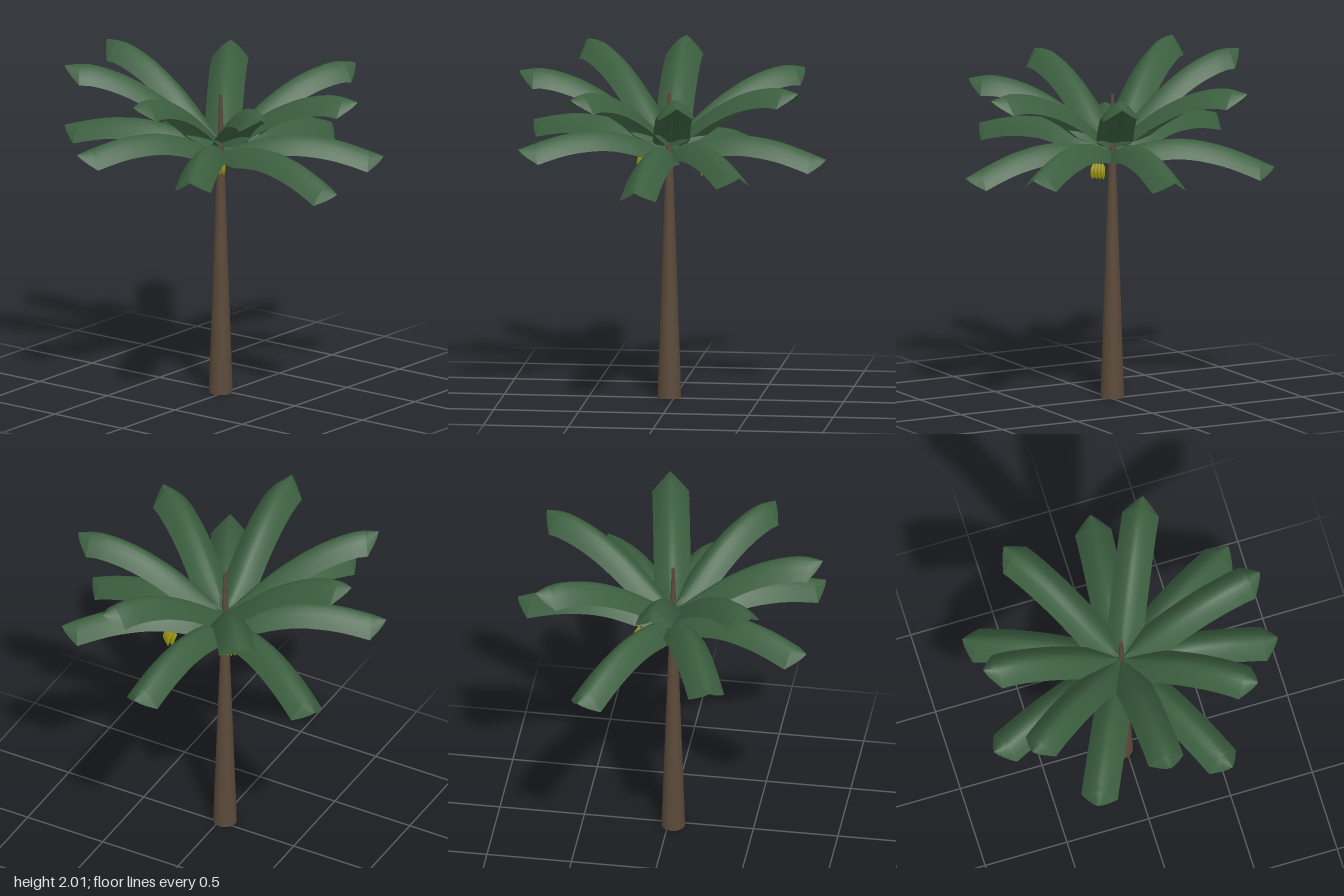
import * as THREE from 'three';

const CX = -0.03, CZ = -0.025; // trunk axis
const leafMat = new THREE.MeshStandardMaterial({ color: 0x3c5f40, side: THREE.DoubleSide });
const stemMat = new THREE.MeshStandardMaterial({ color: 0x3c5f40 });
const barkMat = new THREE.MeshStandardMaterial({ color: 0x5a4a3a });
const fruitMat = new THREE.MeshStandardMaterial({ color: 0x9a9410 });

// Ridge lines as (share of leaf length, height)
const RIDGES = {
  high: [[0.03, 1.53], [0.21, 1.66], [0.38, 1.77], [0.6, 1.87], [0.83, 1.92], [1, 1.9]],
  low: [[0.03, 1.47], [0.22, 1.54], [0.44, 1.575], [0.66, 1.555], [0.83, 1.51], [1, 1.45]],
};

// Leaf tips: x, height, z
const TIPS = {
  high: [[-0.03, 2.0, -0.87], [-0.6, 1.99, -0.74], [-0.91, 1.93, 0.01], [-0.53, 1.88, 0.66],
    [0.125, 1.88, 0.87], [0.775, 1.89, 0.35], [0.71, 1.89, -0.52]],
  low: [[-0.38, 1.55, -0.91], [-0.88, 1.56, -0.43], [-0.87, 1.53, 0.4], [-0.12, 1.38, 0.905],
    [0.48, 1.46, 0.785], [0.905, 1.45, 0.07], [0.41, 1.37, -0.865]],
};

// Half width of the blade at distance r, with a pointed end
function halfWidth(r, length) {
  const base = THREE.MathUtils.clamp((r - 0.02) / 0.17, 0.08, 1);
  const end = THREE.MathUtils.clamp((length - r) / 0.085, 0, 1);
  return 0.108 * Math.sqrt(base) * Math.pow(end, 0.8);
}

// Arched blade along +x
function bladeGeometry(ridge, length) {
  const stations = [];
  for (let i = 0; i <= 14; i++) stations.push(0.03 + (length - 0.115) * i / 14);
  stations.push(length - 0.085, length - 0.04, length - 0.015, length);
  const across = 8, pos = [], idx = [];
  stations.forEach((r, i) => {
    const w = halfWidth(r, length), y = ridge(r);
    for (let j = 0; j <= across; j++) {
      const u = j / across * 2 - 1;
      pos.push(r, y - 0.95 * w * Math.pow(Math.abs(u), 1.6), w * u);
      if (i && j) {
        const d = i * (across + 1) + j, c = d - 1, b = d - across - 1, a = b - 1;
        idx.push(a, b, c, b, d, c);
      }
    }
  });
  const g = new THREE.BufferGeometry();
  g.setAttribute('position', new THREE.Float32BufferAttribute(pos, 3));
  g.setIndex(idx);
  g.computeVertexNormals();
  return g;
}

function makeLeaf(kind, [x, tipY, z]) {
  const dx = x - CX, dz = z - CZ, length = Math.hypot(dx, dz);
  const curve = new THREE.SplineCurve(RIDGES[kind].map(([s, y]) => new THREE.Vector2(s * length, y)));
  const pts = curve.getPoints(60), lift = tipY - RIDGES[kind][5][1];
  const ridge = (r) => {
    let i = 1;
    while (i < pts.length - 1 && pts[i].x < r) i++;
    const a = pts[i - 1], b = pts[i];
    return a.y + (b.y - a.y) * (r - a.x) / (b.x - a.x) + lift * r / length;
  };
  const leaf = new THREE.Group();
  leaf.name = kind + 'Leaf';
  const blade = new THREE.Mesh(bladeGeometry(ridge, length), leafMat);
  blade.name = 'leafBlade';
  // Short stalk below the ridge
  const path = new THREE.CatmullRomCurve3([0, 0.1, 0.19, 0.28].map((r) =>
    new THREE.Vector3(r, ridge(Math.max(r, 0.03)) - 0.015, 0)));
  const stalk = new THREE.Mesh(new THREE.TubeGeometry(path, 8, 0.009, 6), stemMat);
  stalk.name = 'leafStalk';
  leaf.add(blade, stalk);
  leaf.position.set(CX, 0, CZ);
  leaf.rotation.y = Math.atan2(-dz, dx);
  return leaf;
}

// Hanging bunch of curved fruits on a stem, built along +x
function makeBunch(x, z) {
  const dx = x - CX, dz = z - CZ, d = Math.hypot(dx, dz);
  const bunch = new THREE.Group();
  bunch.name = 'fruitBunch';
  const V = (a, b, c) => new THREE.Vector3(a, b, c);
  const stem = new THREE.Mesh(new THREE.TubeGeometry(
    new THREE.CatmullRomCurve3([V(0, 1.45, 0), V(d * 0.5, 1.48, 0), V(d - 0.02, 1.45, 0)]), 8, 0.007, 6), stemMat);
  stem.name = 'fruitStem';
  bunch.add(stem);
  for (let row = 0; row < 2; row++) {
    for (let k = -1.5; k <= 1.5; k++) {
      const o = d - 0.025 + row * 0.028, y = 1.45 + row * 0.012, s = k * 0.016;
      const path = new THREE.CatmullRomCurve3([V(o, y, s), V(o + 0.026, y - 0.04, s * 1.25), V(o + 0.03, y - 0.085, s * 1.3)]);
      const g = new THREE.TubeGeometry(path, 6, 0.011, 6);
      // Taper both ends
      const p = g.attributes.position;
      for (let i = 0; i < p.count; i++) {
        const t = Math.floor(i / 7) / 6, c = path.getPointAt(t), f = 0.2 + 0.8 * Math.sqrt(Math.sin(Math.PI * Math.min(1, t)) + 1e-6);
        p.setXYZ(i, c.x + (p.getX(i) - c.x) * f, c.y + (p.getY(i) - c.y) * f, c.z + (p.getZ(i) - c.z) * f);
      }
      g.computeVertexNormals();
      const fruit = new THREE.Mesh(g, fruitMat);
      fruit.name = 'fruit';
      bunch.add(fruit);
    }
  }
  bunch.position.set(CX, 0, CZ);
  bunch.rotation.y = Math.atan2(-dz, dx);
  return bunch;
}

export function createModel() {
  const model = new THREE.Group();
  model.name = 'palmPlant';

  // Tapering trunk ending in a thin spire
  const trunk = new THREE.Mesh(new THREE.CylinderGeometry(0.009, 0.07, 1.81, 20), barkMat);
  trunk.name = 'trunk';
  trunk.position.set(CX, 0.905, CZ);
  model.add(trunk);

  // Two tiers of leaves
  for (const kind of ['high', 'low']) {
    for (const tip of TIPS[kind]) model.add(makeLeaf(kind, tip));
  }

  // Fruit under the crown
  for (const [x, z] of [[0.13, -0.16], [-0.16, 0.06], [0.21, 0.2]]) model.add(makeBunch(x, z));
  return model;
}
